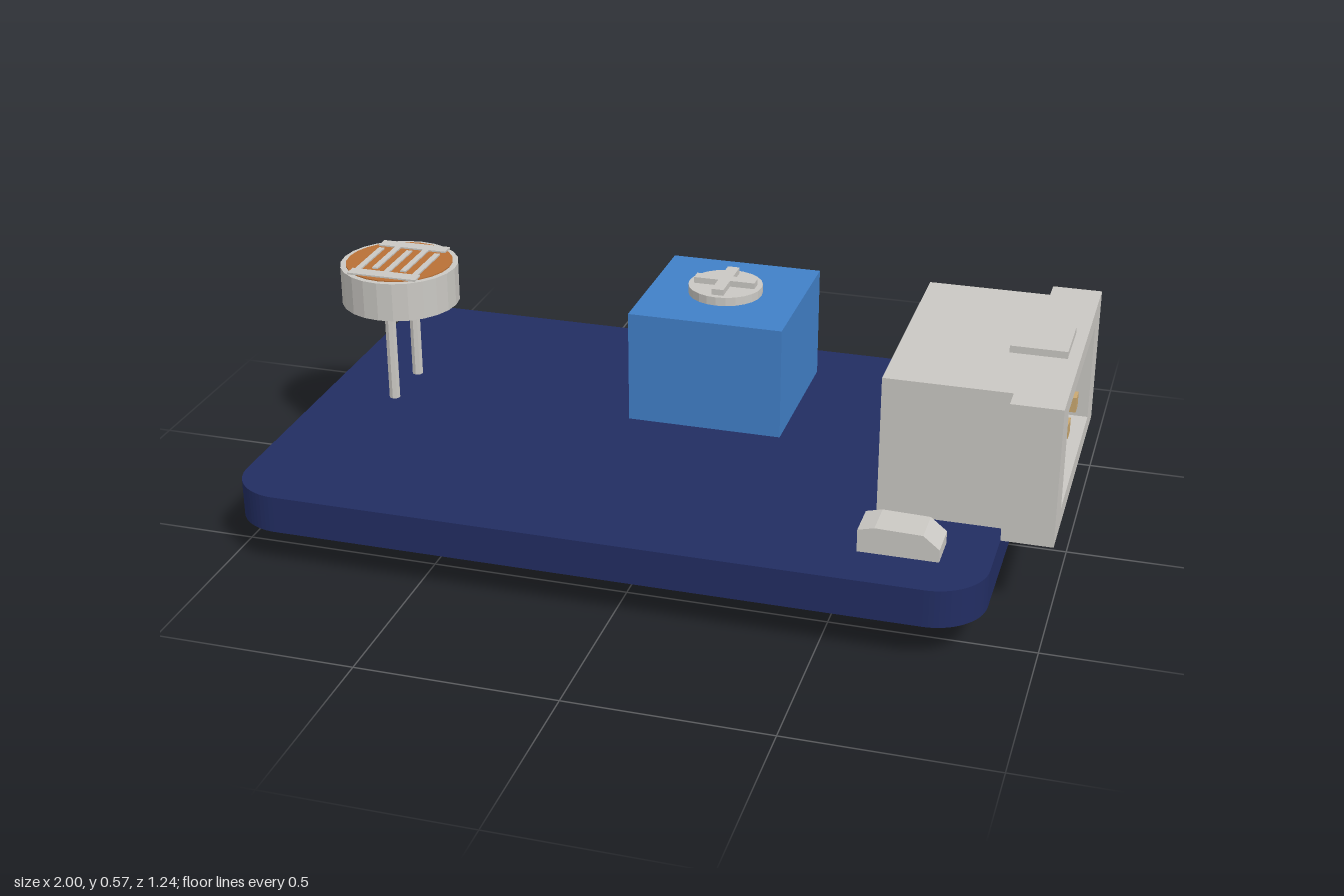
import * as THREE from 'three';

const mat = (name, color) => Object.assign(new THREE.MeshStandardMaterial({ color }), { name });

export function createModel() {
  const navy = mat('board navy', 0x222d62);
  const blue = mat('trimmer blue', 0x4180c8);
  const grey = mat('pale grey', 0xcac8c3);
  const gold = mat('gold tan', 0xcaa870);
  const black = mat('chip black', 0x343434);
  const orange = mat('sensor orange', 0xb97036);
  const model = new THREE.Group();

  const add = (name, geo, material, parent = model) => {
    const m = new THREE.Mesh(geo, material);
    m.name = name;
    parent.add(m);
    return m;
  };
  // box given by its limits on each axis
  const box = (name, material, x0, x1, y0, y1, z0, z1, parent) => {
    const m = add(name, new THREE.BoxGeometry(x1 - x0, y1 - y0, z1 - z0), material, parent);
    m.position.set((x0 + x1) / 2, (y0 + y1) / 2, (z0 + z1) / 2);
    return m;
  };
  // upright cylinder from y0 to y1
  const disc = (name, material, r, x, y0, y1, z, sides, parent) => {
    const geo = new THREE.CylinderGeometry(r, r, y1 - y0, sides).toNonIndexed();
    geo.computeVertexNormals();
    const m = add(name, geo, material, parent);
    m.position.set(x, (y0 + y1) / 2, z);
    return m;
  };
  const group = (name) => {
    const g = new THREE.Group();
    g.name = name;
    model.add(g);
    return g;
  };

  // circuit board with rounded corners
  const X0 = -1, X1 = 0.875, Z = 0.62, R = 0.13;
  const outline = new THREE.Shape();
  outline.absarc(X1 - R, Z - R, R, 0, Math.PI / 2);
  outline.absarc(X0 + R, Z - R, R, Math.PI / 2, Math.PI);
  outline.absarc(X0 + R, -Z + R, R, Math.PI, Math.PI * 1.5);
  outline.absarc(X1 - R, -Z + R, R, Math.PI * 1.5, Math.PI * 2);
  const TOP = 0.193, UNDER = 0.097;
  const board = add('circuitBoard', new THREE.ExtrudeGeometry(outline,
    { depth: TOP - UNDER, bevelEnabled: false, curveSegments: 8 }), navy);
  board.rotation.x = -Math.PI / 2;
  board.position.y = UNDER;

  // connector: rear body walls around a deep socket, then a wider flange
  const socket = group('connector');
  const H = 0.549, c0 = 0.245, c1 = 0.5, k0 = -0.285, k1 = 0.235;
  const sleeve = (name, x0, x1, z0, z1) => {
    const s = new THREE.Shape([[-z0, TOP], [-z0, H], [-z1, H], [-z1, TOP]].map(p => new THREE.Vector2(...p)));
    s.holes.push(new THREE.Path([[-k0, c0], [-k1, c0], [-k1, c1], [-k0, c1]].map(p => new THREE.Vector2(...p))));
    const m = add(name, new THREE.ExtrudeGeometry(s, { depth: x1 - x0, bevelEnabled: false }), grey, socket);
    m.rotation.y = Math.PI / 2;
    m.position.x = x0;
  };
  box('connectorBack', grey, 0.565, 0.64, TOP, H, -0.34, 0.28, socket);
  sleeve('connectorBody', 0.64, 0.875, -0.34, 0.28);
  sleeve('connectorFlange', 0.875, 1, -0.4, 0.34);
  box('connectorTab', grey, 0.83, 0.97, H, 0.567, -0.11, 0.05, socket);
  for (const z of [0.132, -0.025, -0.182])
    box('connectorPin', gold, 0.63, 0.98, 0.311, 0.351, z - 0.02, z + 0.02, socket);

  // two small lamps beside the connector
  const lamp = new THREE.Shape([[0.56, TOP], [0.755, TOP], [0.755, 0.225], [0.715, 0.257],
    [0.6, 0.26], [0.56, 0.25]].map(p => new THREE.Vector2(...p)));
  for (const z of [-0.545, 0.388])
    add('indicatorLamp', new THREE.ExtrudeGeometry(lamp, { depth: 0.097, bevelEnabled: false }), grey).position.z = z;

  // trimmer with cross-headed screw
  const trimmer = group('trimmer');
  box('trimmerBody', blue, -0.165, 0.242, TOP, 0.491, -0.478, -0.05, trimmer);
  const sx = 0.037, sz = -0.264;
  disc('screwDisc', grey, 0.098, sx, 0.491, 0.514, sz, 24, trimmer);
  box('screwCross', grey, sx - 0.082, sx + 0.082, 0.514, 0.53, sz - 0.016, sz + 0.016, trimmer);
  for (const s of [-1, 1])
    box('screwCross', grey, sx - 0.016, sx + 0.016, 0.514, 0.53, sz + Math.min(s * 0.016, s * 0.082),
      sz + Math.max(s * 0.016, s * 0.082), trimmer);

  // light sensor on two legs
  const sensor = group('lightSensor');
  const lx = -0.81, lz = -0.086;
  disc('sensorCan', grey, 0.156, lx, 0.445, 0.549, lz, 24, sensor);
  disc('sensorFace', orange, 0.141, lx, 0.549, 0.552, lz, 24, sensor);
  for (const s of [-1, 1]) {
    disc('sensorLeg', grey, 0.015, lx, TOP, 0.445, lz + s * 0.08, 8, sensor);
    box('sensorBar', grey, lx - 0.095, lx + 0.095, 0.551, 0.556, lz + s * 0.105 - 0.018, lz + s * 0.105 + 0.018, sensor);
  }
  for (let i = -2; i <= 2; i++) {
    const x = lx + i * 0.04;
    const odd = i % 2 !== 0;
    box('sensorTrace', grey, x - 0.008, x + 0.008, 0.551, 0.556,
      lz - (odd ? 0.09 : 0.07), lz + (odd ? 0.07 : 0.09), sensor);
  }

  // chip under the board with flat leads
  const chip = group('chip');
  box('chipBody', black, -0.09, 0.21, 0, UNDER, 0.066, 0.306, chip);
  for (let i = 0; i < 4; i++) {
    const z = 0.068 + i * 0.079;
    box('chipLead', grey, -0.15, -0.08, 0.065, 0.076, z - 0.012, z + 0.012, chip);
    box('chipLead', grey, 0.2, 0.267, 0.065, 0.076, z - 0.012, z + 0.012, chip);
  }

  // small parts under the board
  for (const [x, z, m, name] of [
    [0.43, 0.123, gold, 'capacitor'], [-0.437, 0.22, gold, 'capacitor'],
    [0.43, -0.185, black, 'resistor'], [-0.437, 0.065, black, 'resistor'],
    [-0.437, -0.092, black, 'resistor'], [-0.437, -0.247, black, 'resistor'],
  ]) box(name, m, x - 0.062, x + 0.062, 0.067, UNDER, z - 0.038, z + 0.038);

  return model;
}
